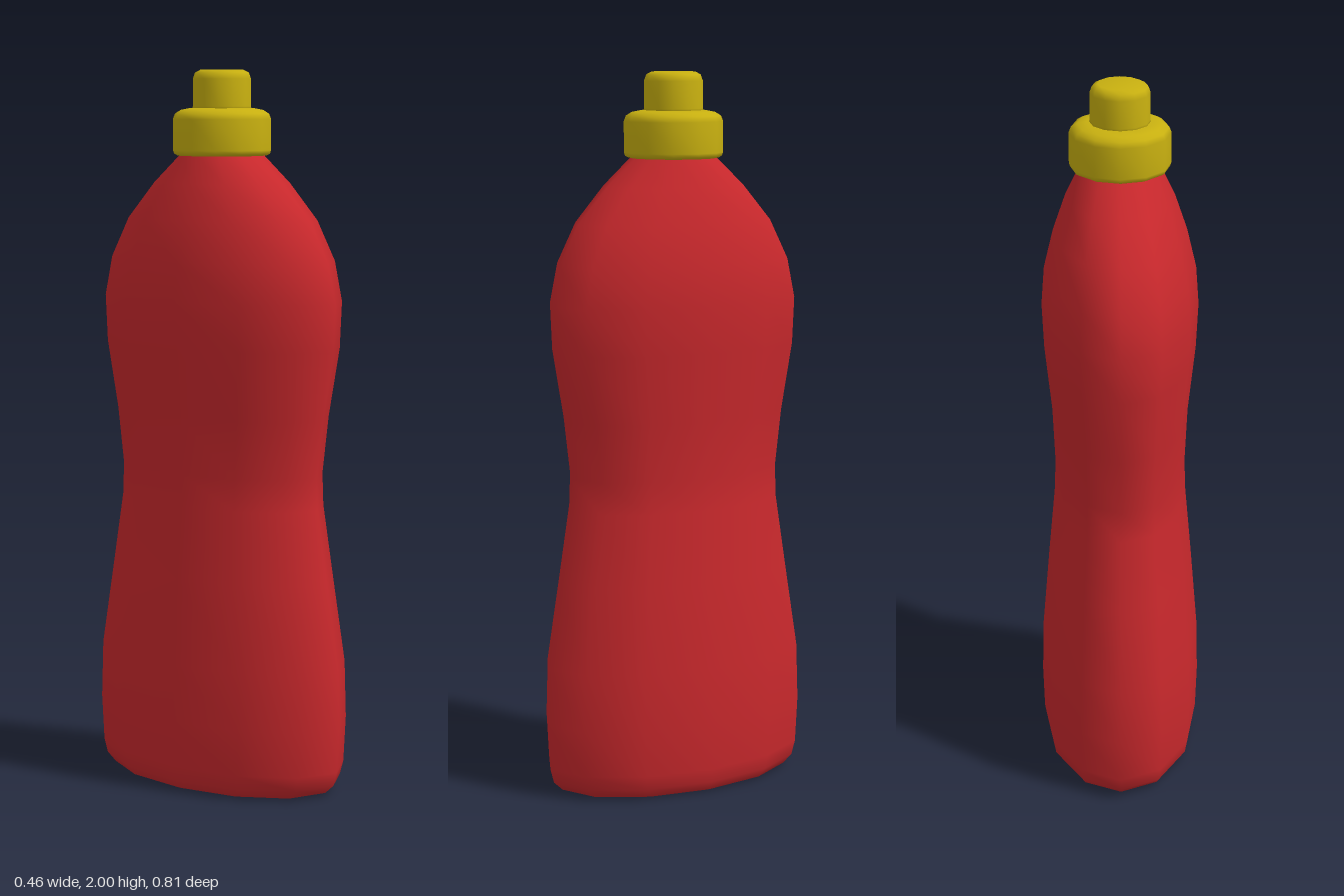
import * as THREE from 'three';
import { mergeVertices } from 'three/addons/utils/BufferGeometryUtils.js';

const SIDES = 12;

// Smooth 12-sided loft of ellipses; each row is [y, half width in x, half depth in z]
function loft(rows) {
  const geometry = new THREE.LatheGeometry(rows.map(([y, , rz]) => new THREE.Vector2(rz, y)), SIDES);
  const position = geometry.attributes.position;
  for (let i = 0; i < position.count; i++) {
    const [, rx, rz] = rows[i % rows.length];
    if (rz > 0) position.setX(i, position.getX(i) * rx / rz);
  }
  // Weld the seam and the poles so the normals run smoothly all round
  geometry.deleteAttribute('uv');
  geometry.deleteAttribute('normal');
  const welded = mergeVertices(geometry, 1e-4);
  welded.computeVertexNormals();
  return welded;
}

function part(name, rows, color) {
  const mesh = new THREE.Mesh(loft(rows), new THREE.MeshStandardMaterial({ color }));
  mesh.name = name;
  return mesh;
}

const round = (y, r) => [y, r, r];

export function createModel() {
  const group = new THREE.Group();
  group.name = 'squeezeBottle';

  // Oval bottle with a pinched waist and rounded shoulders
  group.add(part('bottleBody', [
    [0, 0, 0],
    [0, 0.19, 0.34],
    [0.005, 0.203, 0.36],
    [0.03, 0.217, 0.387],
    [0.07, 0.224, 0.398],
    [0.2, 0.228, 0.405],
    [0.36, 0.224, 0.4],
    [0.6, 0.204, 0.36],
    [0.8, 0.186, 0.328],
    [0.89, 0.183, 0.325],
    [1.05, 0.19, 0.345],
    [1.24, 0.21, 0.378],
    [1.37, 0.216, 0.383],
    [1.48, 0.208, 0.358],
    [1.59, 0.182, 0.3],
    [1.69, 0.148, 0.208],
    [1.765, 0.112, 0.122],
    [1.79, 0.1, 0.1],
    [1.79, 0, 0],
  ], 0xc8282c));

  // Wide screw collar
  group.add(part('capCollar', [
    round(1.765, 0),
    round(1.765, 0.125),
    round(1.77, 0.134),
    round(1.78, 0.137),
    round(1.865, 0.137),
    round(1.88, 0.131),
    round(1.89, 0.115),
    round(1.895, 0.09),
    round(1.895, 0),
  ], 0xc8b010));

  // Narrow nozzle on top of the collar
  group.add(part('capNozzle', [
    round(1.885, 0),
    round(1.885, 0.084),
    round(1.9, 0.081),
    round(1.975, 0.081),
    round(1.992, 0.075),
    round(2, 0.06),
    round(2, 0),
  ], 0xc8b010));

  return group;
}
